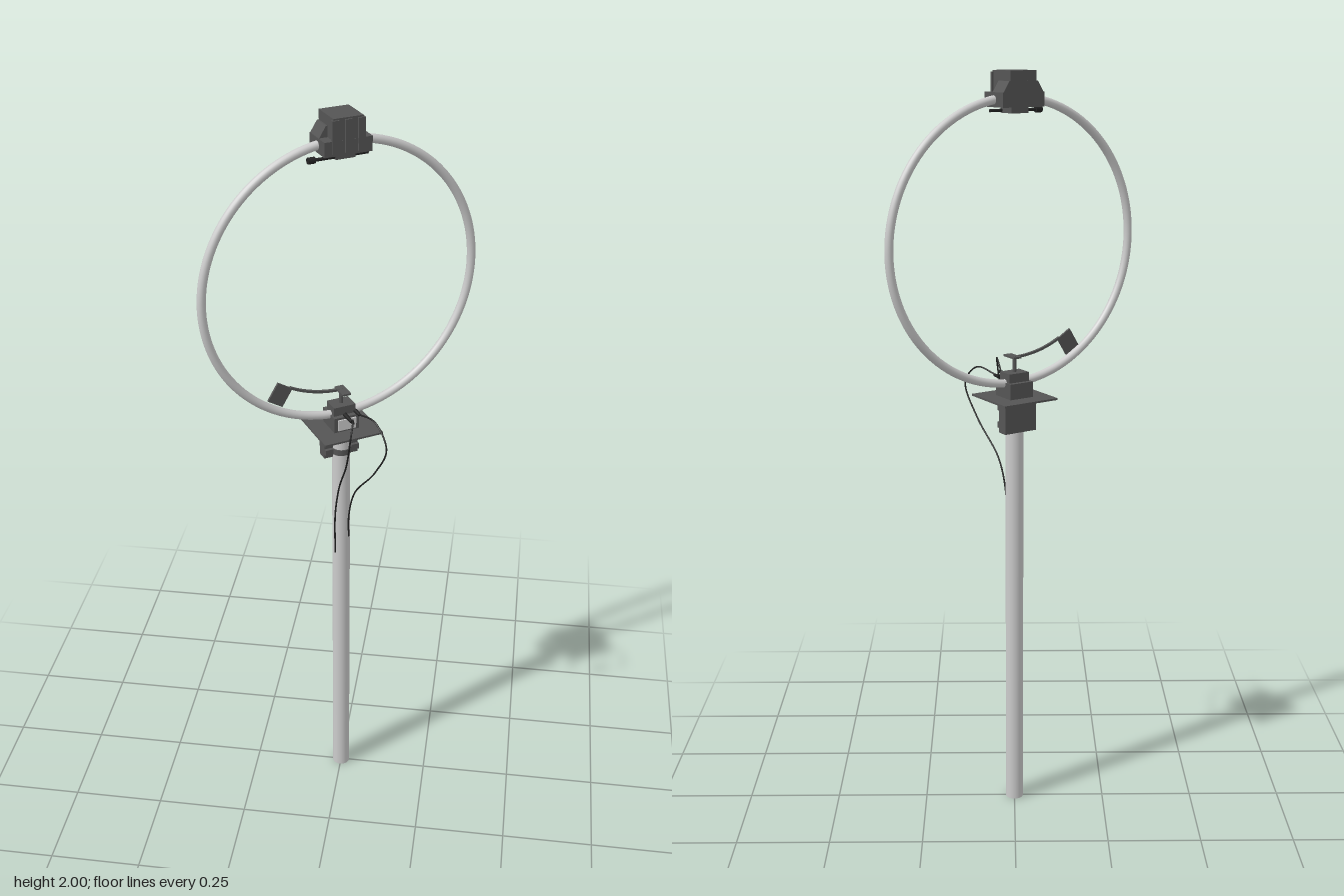
import * as THREE from 'three';

export function createModel() {
  const model = new THREE.Group();
  const head = new THREE.Group(); // everything aligned with the ring's plane
  head.name = 'antennaHead';
  head.rotation.y = 0.57;
  model.add(head);

  const light = new THREE.MeshStandardMaterial({ color: 0xcccccc });
  const dark = new THREE.MeshStandardMaterial({ color: 0x555555, side: THREE.DoubleSide });
  const black = new THREE.MeshStandardMaterial({ color: 0x222222 });

  const add = (parent, name, geometry, material, x = 0, y = 0, z = 0) => {
    const mesh = new THREE.Mesh(geometry, material);
    mesh.name = name;
    mesh.position.set(x, y, z);
    parent.add(mesh);
    return mesh;
  };
  const box = (name, w, h, d, x, y, z, material = dark) =>
    add(head, name, new THREE.BoxGeometry(w, h, d), material, x, y, z);

  // Pole and ring
  const ringY = 1.572, ringR = 0.363;
  add(model, 'pole', new THREE.CylinderGeometry(0.024, 0.024, 1.18, 32), light, 0, 0.59, 0);
  add(head, 'ring', new THREE.TorusGeometry(ringR, 0.011, 16, 128), light, 0, ringY, 0);

  // Top housing: wide base with sloping shoulders behind a taller cap
  box('topHousingBase', 0.122, 0.036, 0.084, 0, 1.93, 0);
  const shoulder = new THREE.Shape([
    new THREE.Vector2(-0.061, 1.945), new THREE.Vector2(0.061, 1.945),
    new THREE.Vector2(0.042, 1.975), new THREE.Vector2(-0.042, 1.975),
  ]);
  add(head, 'topHousingShoulder',
    new THREE.ExtrudeGeometry(shoulder, { depth: 0.05, bevelEnabled: false }), dark, 0, 0, -0.042);
  box('topHousingCap', 0.076, 0.056, 0.082, 0, 1.972, 0);
  for (const x of [-0.033, 0, 0.033]) box('topHousingRib', 0.018, 0.078, 0.008, x, 1.957, 0.041);

  // Adjusting screw under the top housing
  const screw = add(head, 'tuningScrew', new THREE.CylinderGeometry(0.004, 0.004, 0.15, 10), black, -0.015, 1.903, 0.02);
  screw.rotation.z = Math.PI / 2;
  const knob = add(head, 'tuningKnob', new THREE.CylinderGeometry(0.008, 0.008, 0.018, 12), black, -0.085, 1.903, 0.02);
  knob.rotation.z = Math.PI / 2;
  box('topHousingFoot', 0.05, 0.016, 0.05, 0, 1.905, 0);

  // Mounting plate with the ring clamp above it
  box('mountingPlate', 0.163, 0.005, 0.163, 0, 1.17, 0);
  box('ringClamp', 0.07, 0.042, 0.07, 0, 1.193, 0);
  box('ringClampCap', 0.06, 0.026, 0.046, 0, 1.225, 0);
  box('ringClampFace', 0.05, 0.03, 0.006, 0, 1.193, 0.036, light);

  // Bracket holding the pole below the plate
  box('poleBracket', 0.096, 0.09, 0.03, 0, 1.125, -0.015);
  for (const y of [1.1, 1.147]) {
    add(head, 'poleStrap', new THREE.CylinderGeometry(0.027, 0.027, 0.016, 24), dark, 0, y, 0);
    for (const x of [-0.037, 0.037]) box('strapLug', 0.022, 0.016, 0.01, x, y, 0.004);
  }

  // Coupling arm: post, concentric strip and end paddle
  add(head, 'armPost', new THREE.CylinderGeometry(0.005, 0.005, 0.06, 10), dark, 0, 1.25, 0);
  box('armFoot', 0.024, 0.005, 0.05, 0, 1.277, 0.01);
  const armR = 0.295, sweep = 0.5;
  const strip = new THREE.Shape();
  strip.absarc(0, 0, armR + 0.003, -Math.PI / 2 - sweep, -Math.PI / 2, false);
  strip.absarc(0, 0, armR - 0.003, -Math.PI / 2, -Math.PI / 2 - sweep, true);
  add(head, 'couplingArm',
    new THREE.ExtrudeGeometry(strip, { depth: 0.008, bevelEnabled: false, curveSegments: 20 }),
    dark, 0, ringY, -0.004);
  const a = 0.555;
  const paddle = box('couplingPaddle', 0.045, 0.054, 0.006,
    -0.321 * Math.sin(a), ringY - 0.321 * Math.cos(a), 0);
  paddle.rotation.z = -a;

  // Cable plugs on the front of the clamp
  for (const [x, z, len] of [[-0.006, 0.062, 0.05], [0.027, 0.042, 0.024]]) {
    const plug = add(head, 'cablePlug', new THREE.CylinderGeometry(0.004, 0.006, len, 10), black, x, 1.222, z);
    plug.rotation.x = Math.PI / 2;
  }

  // Cables looping out and down to the pole
  const cables = [
    [[0.045, 1.222, 0.025], [0.1, 1.232, 0.085], [0.132, 1.18, 0.121], [0.1, 1.09, 0.095],
      [0.042, 0.99, 0.04], [0.023, 0.9, 0.015], [0.022, 0.83, 0.012]],
    [[0.035, 1.222, 0.07], [0.046, 1.25, 0.115], [0.044, 1.215, 0.147], [0.03, 1.12, 0.115],
      [0, 1.0, 0.045], [-0.013, 0.9, 0.023], [-0.013, 0.78, 0.022]],
  ];
  for (const points of cables) {
    const curve = new THREE.CatmullRomCurve3(points.map(p => new THREE.Vector3(...p)));
    add(model, 'cable', new THREE.TubeGeometry(curve, 60, 0.0022, 8), black);
  }

  return model;
}
